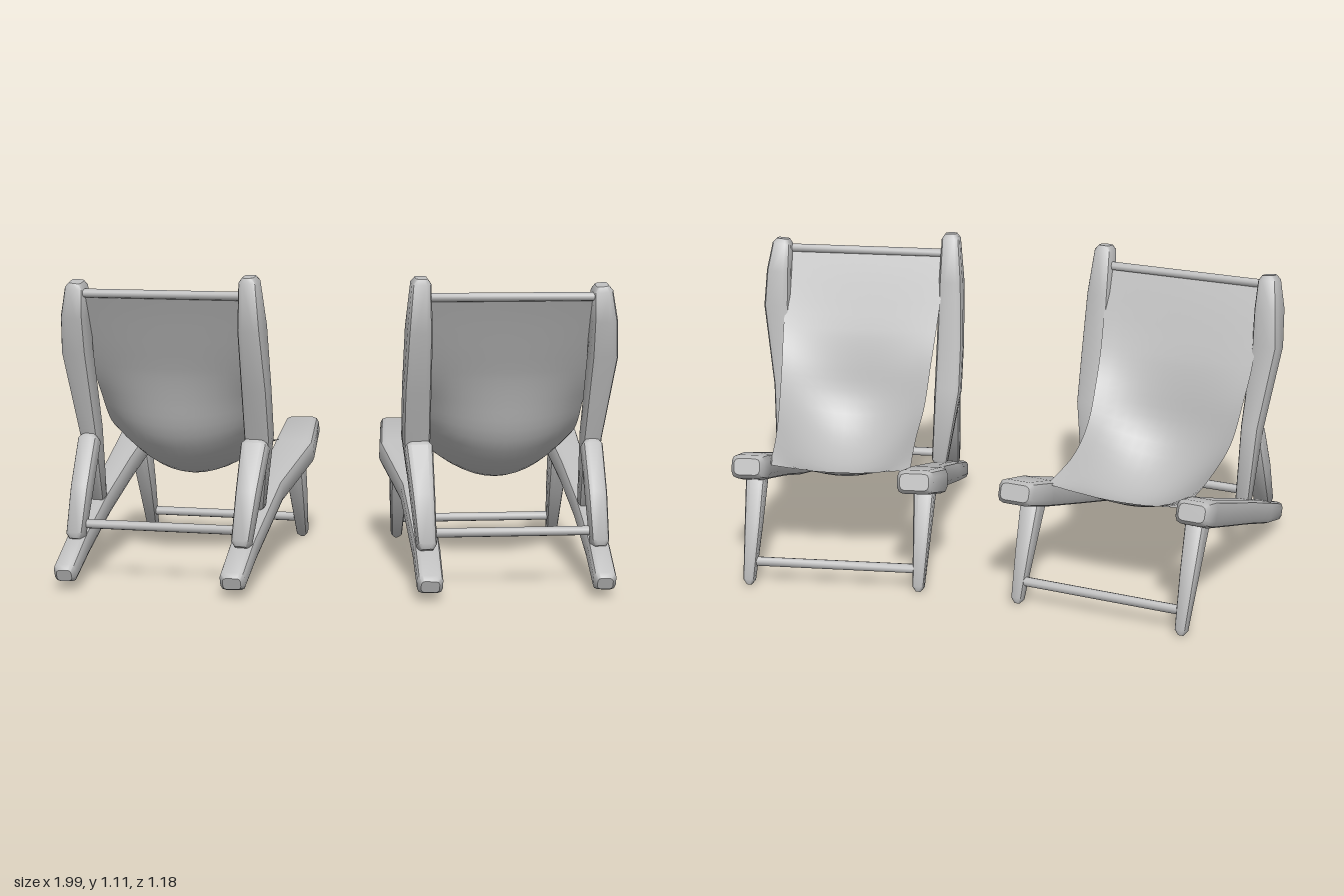
import * as THREE from 'three';
import { toCreasedNormals } from 'three/addons/utils/BufferGeometryUtils.js';

const ACROSS = new THREE.Vector3(0.985, 0, -0.17); // width direction of a chair

// Beam swept through stations [x, y, z, width, depth], with rounded edges and ends
function beam(stations) {
  const pts = stations.map(s => new THREE.Vector3(s[0], s[1], s[2]));
  const n = stations.length;
  const dir = i => pts[Math.min(i + 1, n - 1)].clone().sub(pts[Math.max(i - 1, 0)]).normalize();
  const rings = [];
  const add = (i, shift, shrink) => rings.push({
    c: pts[i].clone().addScaledVector(dir(i), shift), t: dir(i),
    w: stations[i][3] - shrink, d: stations[i][4] - shrink });
  add(0, 0, 0.026);
  add(0, 0.018, 0);
  for (let i = 1; i < n - 1; i++) add(i, 0, 0);
  add(n - 1, -0.018, 0);
  add(n - 1, 0, 0.026);

  const pos = [], index = [], K = 12;
  for (const { c, t, w, d } of rings) {
    const u = ACROSS.clone().addScaledVector(t, -ACROSS.dot(t)).normalize();
    const v = t.clone().cross(u);
    const r = Math.min(w, d) * 0.27;
    for (let k = 0; k < K; k++) {
      const q = Math.floor(k / 3), a = (q + (k % 3) / 2) * Math.PI / 2;
      const sx = q === 0 || q === 3 ? 1 : -1, sy = q < 2 ? 1 : -1;
      const p = c.clone()
        .addScaledVector(u, sx * (w / 2 - r) + r * Math.cos(a))
        .addScaledVector(v, sy * (d / 2 - r) + r * Math.sin(a));
      pos.push(p.x, p.y, p.z);
    }
  }
  for (let j = 0; j < rings.length - 1; j++)
    for (let k = 0; k < K; k++) {
      const a = j * K + k, b = j * K + (k + 1) % K;
      index.push(a, b, b + K, a, b + K, a + K);
    }
  const e = (rings.length - 1) * K;
  for (let k = 1; k < K - 1; k++) index.push(0, k + 1, k, e, e + k, e + k + 1);
  return build(pos, index);
}

function build(pos, index) {
  const g = new THREE.BufferGeometry();
  g.setAttribute('position', new THREE.Float32BufferAttribute(pos, 3));
  g.setIndex(index);
  return g;
}

// Round crossbar between two points
function rod(a, b, radius) {
  const g = new THREE.TubeGeometry(
    new THREE.LineCurve3(new THREE.Vector3(...a), new THREE.Vector3(...b)), 1, radius, 10);
  g.deleteAttribute('uv');
  return g;
}

// Cloth hung between two side curves, sagging most above the front of the seat
function sling() {
  const curve = p => new THREE.CatmullRomCurve3(p.map(q => new THREE.Vector3(...q)));
  const inner = curve([[0.31, 1.035, 0.355], [0.32, 0.76, 0.228], [0.32, 0.64, 0.15],
    [0.315, 0.515, 0.05], [0.3, 0.445, -0.11], [0.255, 0.41, -0.325]]);
  const outer = curve([[0.91, 1.035, 0.265], [0.9, 0.76, 0.135], [0.883, 0.64, 0.06],
    [0.86, 0.515, -0.04], [0.815, 0.442, -0.2], [0.765, 0.405, -0.4]]);
  const S = 24, T = 14, pos = [], index = [];
  for (let i = 0; i <= S; i++) {
    const s = i / S, a = inner.getPoint(s), b = outer.getPoint(s);
    const down = inner.getTangent(s).cross(ACROSS).normalize();
    if (down.y > 0) down.negate();
    const depth = 0.14 * Math.sin(Math.PI * 0.95 * Math.pow(s, 2.2));
    for (let j = 0; j <= T; j++) {
      const t = j / T, x = 2 * t - 1;
      const p = a.clone().lerp(b, t).addScaledVector(down, depth * (1 - x * x));
      pos.push(p.x, p.y, p.z);
      if (i < S && j < T) {
        const k = i * (T + 1) + j;
        index.push(k, k + T + 1, k + 1, k + 1, k + T + 1, k + T + 2);
      }
    }
  }
  return build(pos, index);
}

function chairParts() {
  return {
    // long base rails
    innerRail: beam([[0.345, 0.052, 0.587, 0.09, 0.07], [0.325, 0.125, 0.37, 0.095, 0.085],
      [0.27, 0.265, -0.02, 0.105, 0.09], [0.202, 0.367, -0.3, 0.155, 0.095], [0.183, 0.44, -0.505, 0.13, 0.085]]),
    outerRail: beam([[0.95, 0.052, 0.497, 0.08, 0.07], [0.933, 0.124, 0.3, 0.08, 0.085],
      [0.9, 0.223, 0.05, 0.085, 0.09], [0.86, 0.317, -0.2, 0.1, 0.095],
      [0.82, 0.402, -0.42, 0.125, 0.1], [0.808, 0.437, -0.515, 0.12, 0.085]]),
    // backrest posts
    innerPost: beam([[0.297, 0.235, 0.175, 0.06, 0.05], [0.281, 0.52, 0.248, 0.1, 0.08],
      [0.285, 0.7, 0.298, 0.1, 0.088], [0.293, 0.92, 0.347, 0.09, 0.115], [0.3, 1.102, 0.37, 0.068, 0.08]]),
    outerPost: beam([[0.895, 0.24, 0.08, 0.055, 0.055], [0.908, 0.52, 0.145, 0.07, 0.09],
      [0.943, 0.82, 0.2, 0.1, 0.105], [0.94, 0.95, 0.225, 0.09, 0.12], [0.932, 1.07, 0.248, 0.07, 0.085]]),
    // struts propping the posts
    innerStrut: beam([[0.328, 0.147, 0.435, 0.07, 0.065], [0.31, 0.32, 0.355, 0.085, 0.08], [0.29, 0.5, 0.262, 0.1, 0.075]]),
    outerStrut: beam([[0.937, 0.147, 0.335, 0.065, 0.065], [0.925, 0.32, 0.255, 0.072, 0.08], [0.908, 0.5, 0.167, 0.075, 0.075]]),
    // tapered legs under the rail ends
    innerLeg: beam([[0.184, 0.002, -0.472, 0.042, 0.045], [0.193, 0.18, -0.392, 0.06, 0.07], [0.205, 0.38, -0.295, 0.08, 0.095]]),
    outerLeg: beam([[0.794, 0.002, -0.573, 0.042, 0.045], [0.803, 0.2, -0.483, 0.06, 0.07], [0.815, 0.41, -0.385, 0.075, 0.095]]),
    // crossbars
    topRod: rod([0.3, 1.03, 0.35], [0.93, 1.03, 0.26], 0.016),
    strutRod: rod([0.33, 0.2, 0.39], [0.935, 0.2, 0.3], 0.017),
    legRod: rod([0.19, 0.08, -0.445], [0.79, 0.08, -0.537], 0.017),
    sling: sling(),
  };
}

// Mirror across x = 0, keeping faces outward
function mirrored(geo) {
  const g = geo.clone().scale(-1, 1, 1), idx = g.index;
  for (let i = 0; i < idx.count; i += 3) {
    const b = idx.getX(i + 1);
    idx.setX(i + 1, idx.getX(i + 2));
    idx.setX(i + 2, b);
  }
  return g;
}

export function createModel() {
  const model = new THREE.Group();
  model.name = 'deckChairs';
  const grey = new THREE.MeshStandardMaterial({ color: 0xbcbcbc, side: THREE.DoubleSide });
  grey.name = 'plain grey';
  for (const side of ['left', 'right']) {
    const chair = new THREE.Group();
    chair.name = side + 'Chair';
    for (const [name, geo] of Object.entries(chairParts())) {
      const g = side === 'left' ? geo : mirrored(geo);
      g.computeVertexNormals();
      const mesh = new THREE.Mesh(name === 'sling' ? g : toCreasedNormals(g, 0.75), grey);
      mesh.name = name;
      chair.add(mesh);
    }
    model.add(chair);
  }
  return model;
}
